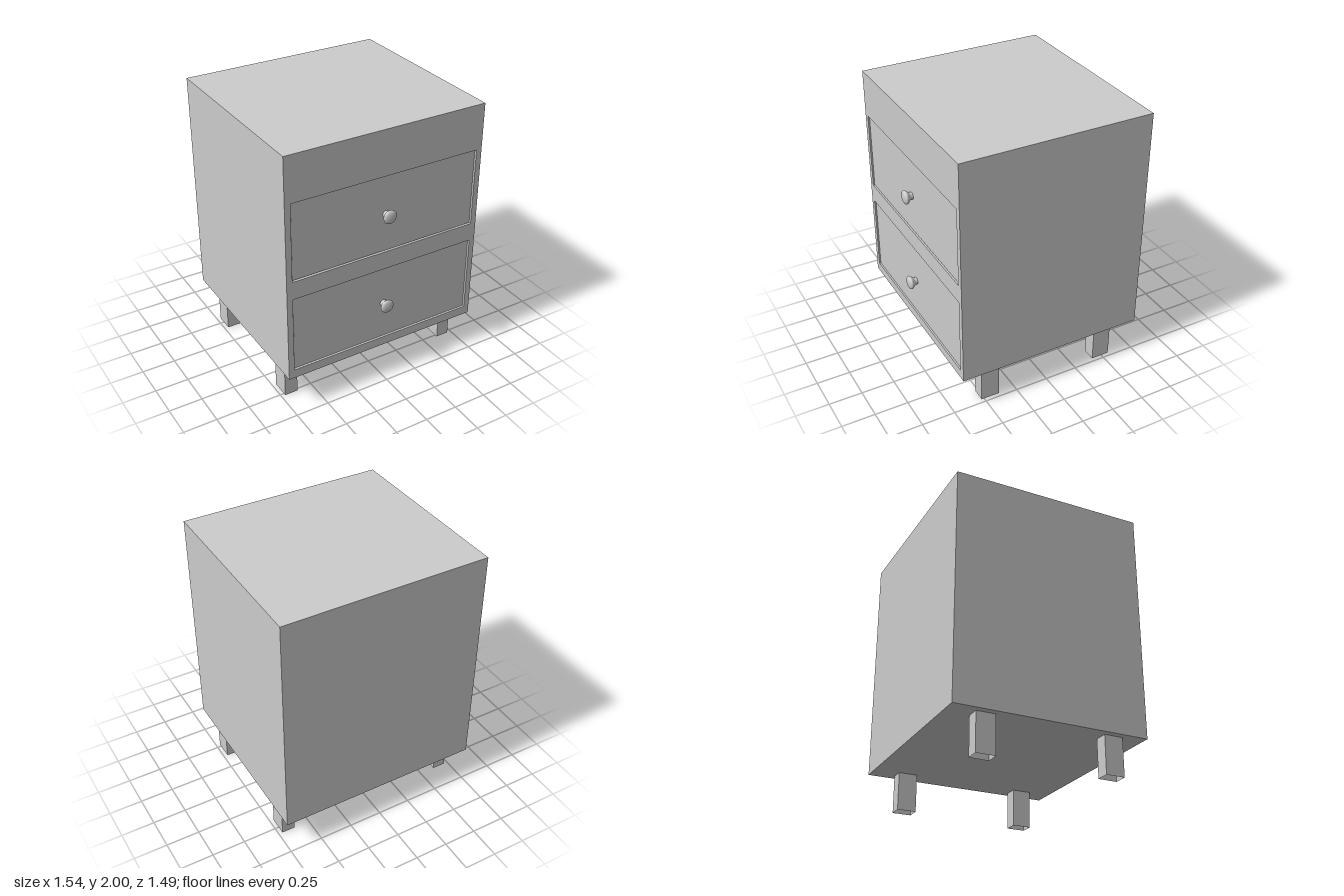
import * as THREE from 'three';

const W = 1.54, BOTTOM = 0.28, TOP = 2, BACK = -0.745, FRONT = 0.685;
const OPENING = { w: 1.454, h: 0.586, depth: 0.06 };
const GAP = 0.006, RECESS = 0.01;

const solid = new THREE.MeshStandardMaterial({ color: 0xcccccc });
const thin = new THREE.MeshStandardMaterial({ color: 0xcccccc, side: THREE.DoubleSide });

function addMesh(parent, name, geometry, material, x = 0, y = 0, z = 0) {
  const mesh = new THREE.Mesh(geometry, material);
  mesh.name = name;
  mesh.position.set(x, y, z);
  parent.add(mesh);
  return mesh;
}

// Box with some sides left out (order: +x, -x, +y, -y, +z, -z)
function openBox(w, h, d, missing) {
  const geometry = new THREE.BoxGeometry(w, h, d);
  const index = Array.from(geometry.index.array);
  geometry.setIndex(index.filter((_, i) => !missing.includes(Math.floor(i / 6))));
  geometry.clearGroups();
  return geometry;
}

function rectangle(Type, w, y0, y1) {
  const path = new Type();
  path.moveTo(-w / 2, y0);
  path.lineTo(w / 2, y0);
  path.lineTo(w / 2, y1);
  path.lineTo(-w / 2, y1);
  path.closePath();
  return path;
}

// Turned knob, flaring from its stem to a softly domed face
function knobGeometry() {
  const profile = [
    [0.027, -0.012], [0.027, 0.004], [0.031, 0.012], [0.040, 0.023], [0.048, 0.032],
    [0.051, 0.038], [0.050, 0.044], [0.045, 0.050], [0.034, 0.055], [0.018, 0.058], [0, 0.059],
  ].map(([r, y]) => new THREE.Vector2(r, y));
  return new THREE.LatheGeometry(profile, 32).rotateX(Math.PI / 2);
}

export function createModel() {
  const model = new THREE.Group();
  model.name = 'nightstand';

  // Cabinet shell and its front with two drawer openings
  const depth = FRONT - BACK;
  addMesh(model, 'cabinet', openBox(W, TOP - BOTTOM, depth, [4]), thin,
    0, (TOP + BOTTOM) / 2, (FRONT + BACK) / 2);
  const face = rectangle(THREE.Shape, W, BOTTOM, TOP);
  const drawerHeights = [0.642, 1.367];
  for (const y of drawerHeights) {
    face.holes.push(rectangle(THREE.Path, OPENING.w, y - OPENING.h / 2, y + OPENING.h / 2));
  }
  addMesh(model, 'frontFrame', new THREE.ShapeGeometry(face), thin, 0, 0, FRONT);

  // Drawers, slightly recessed in their openings, each with a knob
  const knob = knobGeometry();
  drawerHeights.forEach((y, i) => {
    const drawer = new THREE.Group();
    drawer.name = i ? 'upperDrawer' : 'lowerDrawer';
    drawer.position.set(0, y, FRONT);
    model.add(drawer);
    const d = OPENING.depth;
    addMesh(drawer, 'drawerOpening', openBox(OPENING.w, OPENING.h, d, [4]), thin, 0, 0, -d / 2);
    addMesh(drawer, 'drawerFront',
      openBox(OPENING.w - 2 * GAP, OPENING.h - 2 * GAP, d - RECESS, [5]), solid,
      0, 0, -(d + RECESS) / 2);
    addMesh(drawer, 'knob', knob, thin);
  });

  // Hollow square legs, open at the bottom
  const legGeometry = openBox(0.1, BOTTOM, 0.14, [2, 3]);
  for (const x of [-0.67, 0.67]) {
    for (const z of [-0.49, 0.45]) {
      const name = (z > 0 ? 'front' : 'back') + (x > 0 ? 'Left' : 'Right') + 'Leg';
      addMesh(model, name, legGeometry, thin, x, BOTTOM / 2, z);
    }
  }
  return model;
}
